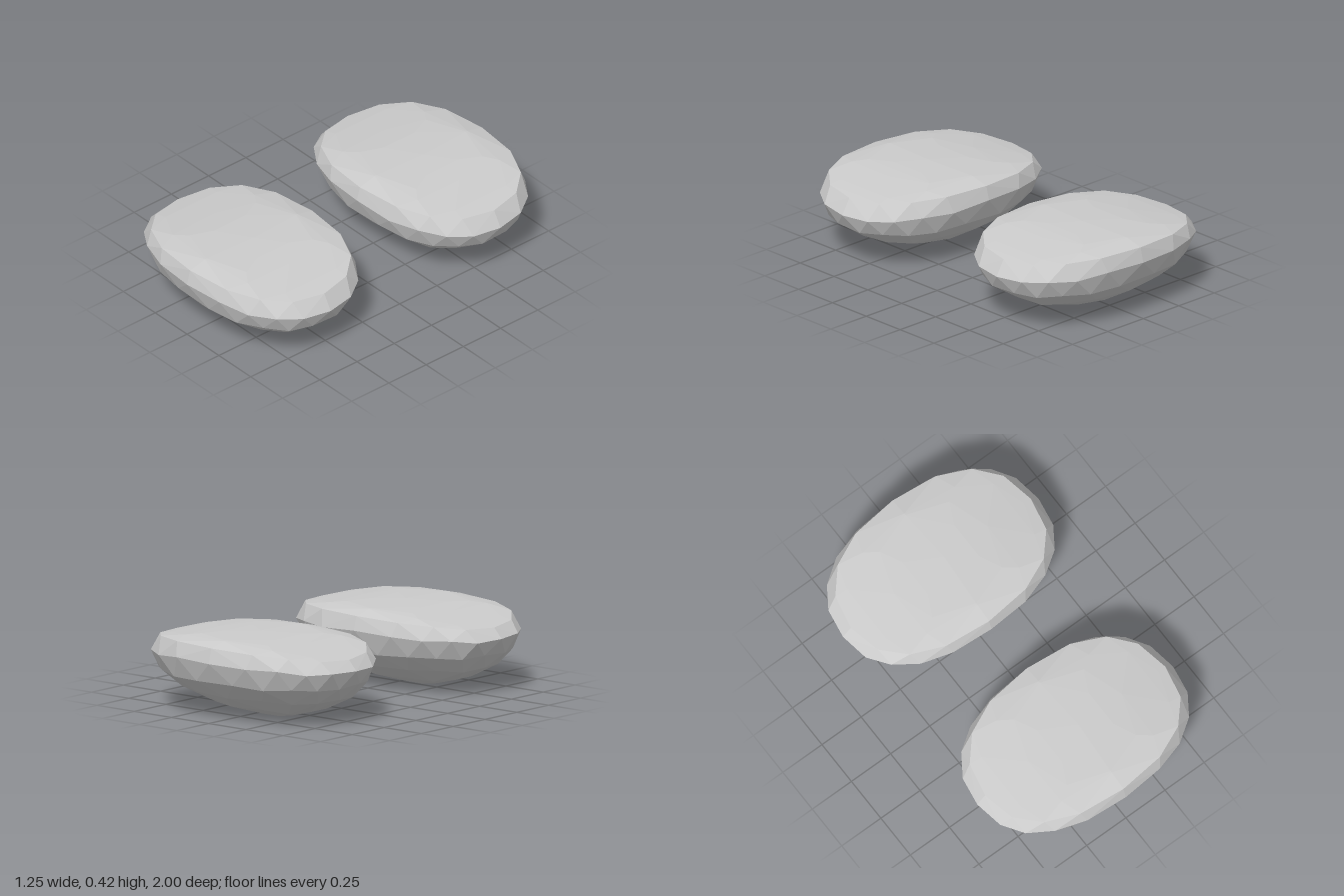
import * as THREE from 'three';
import { ConvexGeometry } from 'three/addons/geometries/ConvexGeometry.js';

// Bowl cross-sections: height, x radius, z radius, x centre, number of corners
const BOWL = [
  [0.002, 0.10, 0.06, -0.09, 6],
  [0.05, 0.325, 0.20, -0.055, 12],
  [0.12, 0.495, 0.31, -0.02, 16],
  [0.20, 0.585, 0.39, 0, 20],
  [0.285, 0.625, 0.43, 0, 20],
];

// Gently arched upper face, rolling off towards its long edges
const topHeight = (x, z) => 0.418 - 0.2 * (x - 0.05) ** 2 - 0.03 * (Math.abs(z) / 0.41) ** 6;

// Point on a slightly squared oval
function oval(angle, rx, rz) {
  const bend = (v) => Math.sign(v) * Math.abs(v) ** (2 / 2.35);
  return [rx * bend(Math.cos(angle)), rz * bend(Math.sin(angle))];
}

function stoneGeometry(side) {
  const points = [];

  // Faceted rounded underside, alternate rings staggered
  BOWL.forEach(([y, rx, rz, cx, count], ring) => {
    for (let i = 0; i < count; i++) {
      const angle = ((i + (ring % 2 ? 0.5 : 0)) / count) * Math.PI * 2;
      const [x, z] = oval(angle, rx, rz);
      const lift = ring === 4 ? 0.025 * Math.sin(angle) ** 2 : 0;
      const wobble = ring > 0 ? 0.006 * Math.sin(i * 2.4 + ring) : 0;
      points.push(new THREE.Vector3(x + cx, y + lift + wobble, z * side));
    }
  });
  points.push(new THREE.Vector3(-0.07, 0, 0));

  // Upper rim and the shallow top facets inside it
  [[0.575, 0.41, 16], [0.53, 0.31, 12], [0.3, 0.3, 8], [0.3, 0.12, 6]].forEach(([rx, rz, count]) => {
    for (let i = 0; i < count; i++) {
      const [x, z] = oval((i / count) * Math.PI * 2, rx, rz);
      points.push(new THREE.Vector3(x, topHeight(x, z), z * side));
    }
  });
  points.push(new THREE.Vector3(0.02, topHeight(0.02, 0), 0));

  return new ConvexGeometry(points);
}

export function createModel() {
  const model = new THREE.Group();
  model.name = 'stonePair';
  const material = new THREE.MeshStandardMaterial({ color: 0xcccccc, flatShading: true });

  // Two mirrored flat-topped stones, side by side
  for (const side of [1, -1]) {
    const stone = new THREE.Mesh(stoneGeometry(side), material);
    stone.name = side > 0 ? 'frontStone' : 'backStone';
    stone.position.z = 0.57 * side;
    model.add(stone);
  }
  return model;
}
